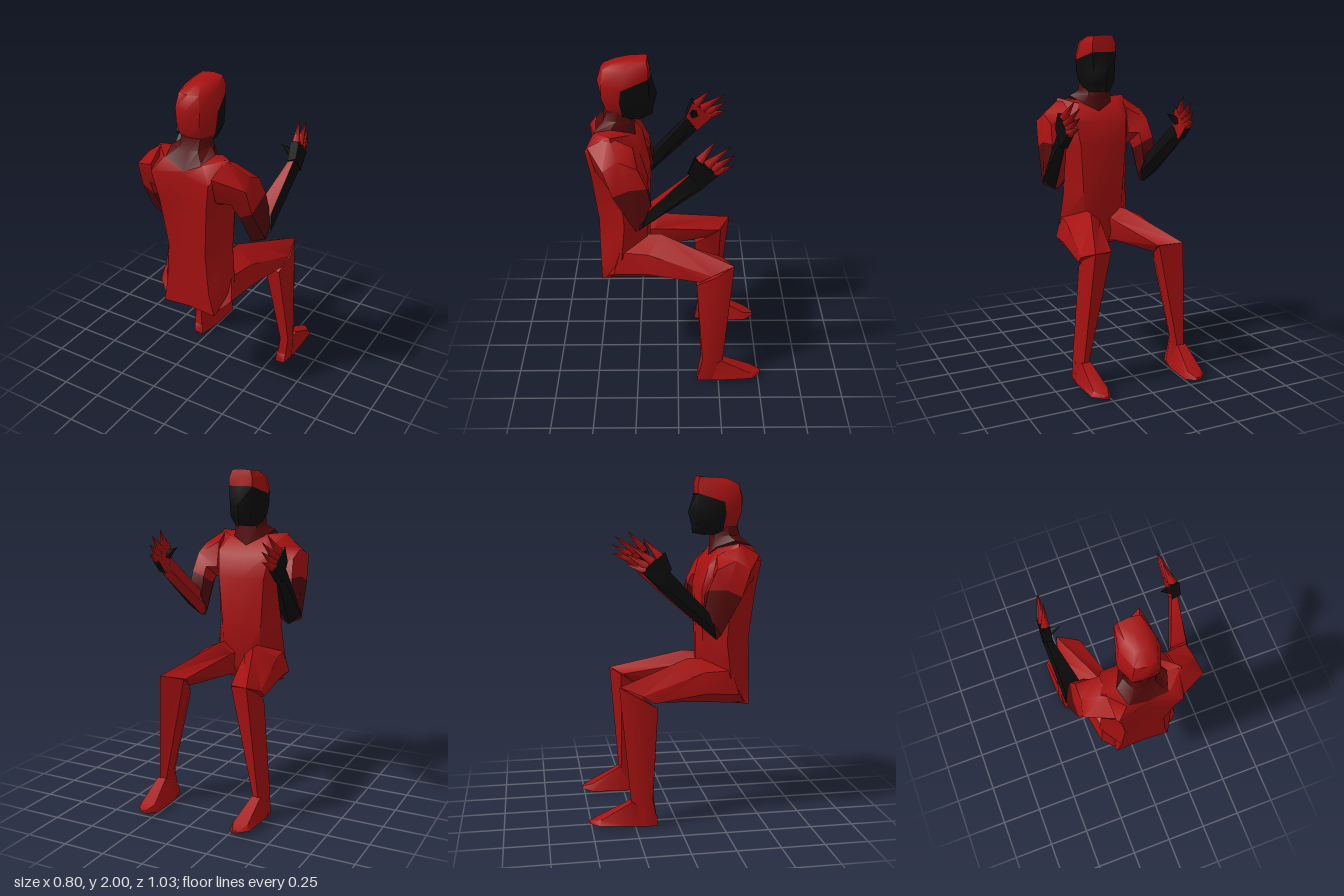
import * as THREE from 'three';
import { toCreasedNormals } from 'three/addons/utils/BufferGeometryUtils.js';

const mat = (name, color) => {
  const m = new THREE.MeshStandardMaterial({ color });
  m.name = name;
  return m;
};

// Skin over a row of closed rings, capped at both ends; pick(i, j) gives the material of a quad.
function loft(name, rings, materials, pick = () => 0, side = 1, crease = 0.9) {
  const n = rings[0].length;
  const pts = rings.flat().map(([x, y, z]) => new THREE.Vector3(x * side, y, z));
  const faces = materials.map(() => []);
  for (let i = 0; i < rings.length - 1; i++) {
    for (let j = 0; j < n; j++) {
      const a = i * n + j, b = i * n + (j + 1) % n;
      faces[pick(i, j)].push([a, b, b + n], [a, b + n, a + n]);
    }
  }
  for (const i of [0, rings.length - 1]) {
    const c = new THREE.Vector3();
    for (let j = 0; j < n; j++) c.addScaledVector(pts[i * n + j], 1 / n);
    const k = pts.push(c) - 1;
    for (let j = 0; j < n; j++) {
      const a = i * n + j, b = i * n + (j + 1) % n;
      faces[pick(Math.min(i, rings.length - 2), j)].push(i ? [k, a, b] : [k, b, a]);
    }
  }
  // Turn the faces outward if the enclosed volume comes out negative.
  let volume = 0;
  const cross = new THREE.Vector3();
  for (const [a, b, c] of faces.flat()) volume += pts[a].dot(cross.crossVectors(pts[b], pts[c]));
  if (volume < 0) faces.flat().forEach((f) => f.reverse());

  const geo = new THREE.BufferGeometry().setFromPoints(pts);
  geo.setIndex(faces.flat(2));
  let start = 0;
  faces.forEach((f, m) => {
    if (f.length) geo.addGroup(start, f.length * 3, m);
    start += f.length * 3;
  });
  const mesh = new THREE.Mesh(toCreasedNormals(geo, crease), materials);
  mesh.name = name;
  return mesh;
}

// Completes a half ring that runs from the back centre to the front centre.
const mirrorRing = (half) => [...half, ...half.slice(1, -1).reverse().map(([x, y, z]) => [-x, y, z])];

// Pointed finger from base to tip.
function finger(name, base, tip, radius, material, side) {
  const a = new THREE.Vector3(base[0] * side, base[1], base[2]);
  const b = new THREE.Vector3(tip[0] * side, tip[1], tip[2]);
  const mesh = new THREE.Mesh(new THREE.ConeGeometry(radius, a.distanceTo(b), 5), material);
  mesh.name = name;
  mesh.position.copy(a).add(b).multiplyScalar(0.5);
  mesh.quaternion.setFromUnitVectors(new THREE.Vector3(0, 1, 0), b.sub(a).normalize());
  return mesh;
}

export function createModel() {
  const red = mat('suit red', 0xa51111);
  const dark = mat('dark red', 0x520909);
  const black = mat('black', 0x0c0c0c);
  const model = new THREE.Group();
  model.name = 'seatedFigure';

  // Torso and collar
  const torso = [
    [[0, 0.67, 0.45], [0.17, 0.66, 0.455], [0.18, 0.68, 0.36], [0.1, 0.7, 0.25], [0, 0.72, 0.2]],
    [[0, 0.8, 0.45], [0.14, 0.8, 0.46], [0.235, 0.84, 0.33], [0.12, 0.8, 0.18], [0, 0.8, 0.165]],
    [[0, 1.05, 0.45], [0.12, 1.05, 0.46], [0.21, 1.05, 0.31], [0.13, 1.05, 0.18], [0, 1.05, 0.165]],
    [[0, 1.35, 0.46], [0.15, 1.35, 0.49], [0.235, 1.35, 0.33], [0.15, 1.35, 0.17], [0, 1.35, 0.155]],
    [[0, 1.51, 0.47], [0.18, 1.52, 0.515], [0.26, 1.52, 0.36], [0.17, 1.5, 0.21], [0, 1.48, 0.2]],
    [[0, 1.54, 0.465], [0.12, 1.6, 0.47], [0.22, 1.62, 0.37], [0.12, 1.59, 0.27], [0, 1.54, 0.24]],
  ].map(mirrorRing);
  const collar = [
    [[0, 1.54, 0.467], [0.11, 1.6, 0.47], [0.14, 1.63, 0.37], [0.09, 1.59, 0.265], [0, 1.54, 0.238]],
    [[0, 1.64, 0.42], [0.06, 1.65, 0.415], [0.095, 1.66, 0.34], [0.06, 1.64, 0.26], [0, 1.63, 0.245]],
    [[0, 1.72, 0.41], [0.06, 1.72, 0.39], [0.09, 1.72, 0.33], [0.06, 1.72, 0.26], [0, 1.72, 0.25]],
  ].map(mirrorRing);
  model.add(loft('torso', torso, [red]), loft('collar', collar, [dark]));

  // Head, with the face as the front columns of the lower rows
  const head = [
    [[0, 1.68, 0.39], [0.05, 1.68, 0.38], [0.07, 1.665, 0.31], [0.05, 1.66, 0.2], [0, 1.67, 0.14]],
    [[0, 1.72, 0.415], [0.07, 1.72, 0.395], [0.1, 1.72, 0.31], [0.065, 1.72, 0.16], [0, 1.72, 0.135]],
    [[0, 1.79, 0.43], [0.07, 1.79, 0.42], [0.115, 1.78, 0.32], [0.07, 1.79, 0.16], [0, 1.79, 0.115]],
    [[0, 1.87, 0.445], [0.075, 1.87, 0.42], [0.12, 1.85, 0.31], [0.075, 1.9, 0.16], [0, 1.9, 0.15]],
    [[0, 1.95, 0.42], [0.06, 1.95, 0.405], [0.1, 1.95, 0.29], [0.075, 1.95, 0.16], [0, 1.95, 0.155]],
    [[0, 1.985, 0.34], [0.035, 1.985, 0.34], [0.06, 1.99, 0.27], [0.06, 1.995, 0.17], [0, 2, 0.165]],
  ].map(mirrorRing);
  model.add(loft('head', head, [red, black], (i, j) => (i < 3 && j >= 2 && j <= 5 ? 1 : 0)));

  for (const s of [1, -1]) {
    const label = s > 0 ? 'left' : 'right';

    // Legs
    const leg = new THREE.Group();
    leg.name = label + 'Leg';
    leg.add(loft('thigh', [
      [[0.1, 0.93, 0.36], [0.22, 0.88, 0.34], [0.24, 0.74, 0.38], [0.16, 0.665, 0.44], [0.03, 0.68, 0.4], [0.02, 0.85, 0.35]],
      [[0.12, 0.945, 0.1], [0.25, 0.88, 0.17], [0.275, 0.76, 0.18], [0.2, 0.695, 0.17], [0.06, 0.74, 0.15], [0.04, 0.88, 0.14]],
      [[0.28, 0.82, -0.33], [0.312, 0.77, -0.2], [0.3, 0.72, -0.13], [0.23, 0.71, -0.12], [0.16, 0.74, -0.18], [0.148, 0.8, -0.26]],
    ], [red], undefined, s));
    leg.add(loft('shin', [
      [[0.28, 0.82, -0.33], [0.312, 0.76, -0.22], [0.29, 0.69, -0.11], [0.2, 0.67, -0.11], [0.16, 0.74, -0.19], [0.155, 0.8, -0.27]],
      [[0.33, 0.16, -0.275], [0.355, 0.18, -0.21], [0.35, 0.17, -0.15], [0.3, 0.17, -0.14], [0.28, 0.18, -0.19], [0.29, 0.16, -0.26]],
      [[0.33, 0.03, -0.28], [0.36, 0.02, -0.2], [0.345, 0.01, -0.12], [0.29, 0, -0.115], [0.26, 0.01, -0.18], [0.27, 0.02, -0.27]],
    ], [red], undefined, s));
    leg.add(loft('foot', [
      [[0.28, 0, -0.118], [0.345, 0, -0.118], [0.345, 0.06, -0.125], [0.285, 0.06, -0.125]],
      [[0.25, 0.005, -0.26], [0.362, 0.015, -0.26], [0.345, 0.155, -0.27], [0.29, 0.155, -0.27]],
      [[0.24, 0.015, -0.45], [0.365, 0.03, -0.46], [0.35, 0.06, -0.45], [0.26, 0.06, -0.45]],
      [[0.28, 0.025, -0.515], [0.315, 0.03, -0.51], [0.31, 0.04, -0.51], [0.285, 0.04, -0.51]],
    ], [red], undefined, s));
    model.add(leg);

    // Arms: the lowest band of the upper arm is the dark cuff
    const arm = new THREE.Group();
    arm.name = label + 'Arm';
    arm.add(loft('upperArm', [
      [[0.2, 1.62, 0.38], [0.19, 1.55, 0.5], [0.19, 1.4, 0.46], [0.19, 1.3, 0.33], [0.19, 1.4, 0.22], [0.19, 1.55, 0.25]],
      [[0.325, 1.53, 0.33], [0.345, 1.48, 0.41], [0.26, 1.39, 0.42], [0.235, 1.33, 0.3], [0.25, 1.4, 0.19], [0.32, 1.48, 0.22]],
      [[0.355, 1.37, 0.27], [0.355, 1.33, 0.36], [0.28, 1.29, 0.36], [0.24, 1.29, 0.26], [0.255, 1.34, 0.165], [0.335, 1.37, 0.17]],
      [[0.38, 1.18, 0.2], [0.375, 1.12, 0.235], [0.285, 1.08, 0.235], [0.25, 1.12, 0.2], [0.265, 1.22, 0.15], [0.35, 1.23, 0.14]],
    ], [red, dark], (i) => (i === 2 ? 1 : 0), s));
    // One forearm is black all round, the other only on its outer side
    arm.add(loft('forearm', [
      [[0.27, 1.25, 0.16], [0.37, 1.25, 0.165], [0.385, 1.15, 0.2], [0.3, 1.08, 0.225], [0.25, 1.14, 0.2]],
      [[0.35, 1.475, -0.06], [0.385, 1.485, -0.06], [0.4, 1.42, -0.11], [0.375, 1.39, -0.125], [0.35, 1.42, -0.1]],
    ], [red, black], (i, j) => (s < 0 || j === 1 || j === 2 ? 1 : 0), s));
    arm.add(loft('palm', [
      [[0.4, 1.5, -0.05], [0.4, 1.4, -0.12], [0.355, 1.39, -0.12], [0.35, 1.48, -0.05]],
      [[0.398, 1.59, -0.085], [0.39, 1.48, -0.21], [0.35, 1.48, -0.21], [0.345, 1.58, -0.09]],
    ], [red, black], (i, j) => (j === 2 ? 0 : 1), s, 0.5));
    const fingers = [
      [[0.37, 1.56, -0.11], [0.34, 1.665, -0.2]],
      [[0.37, 1.535, -0.15], [0.345, 1.635, -0.285]],
      [[0.37, 1.51, -0.18], [0.35, 1.585, -0.3]],
      [[0.37, 1.49, -0.19], [0.355, 1.525, -0.3]],
    ];
    fingers.forEach(([base, tip]) => arm.add(finger('finger', base, tip, 0.028, red, s)));
    arm.add(finger('thumb', [0.36, 1.5, -0.1], [0.29, 1.55, -0.09], 0.03, black, s));
    model.add(arm);
  }
  return model;
}
